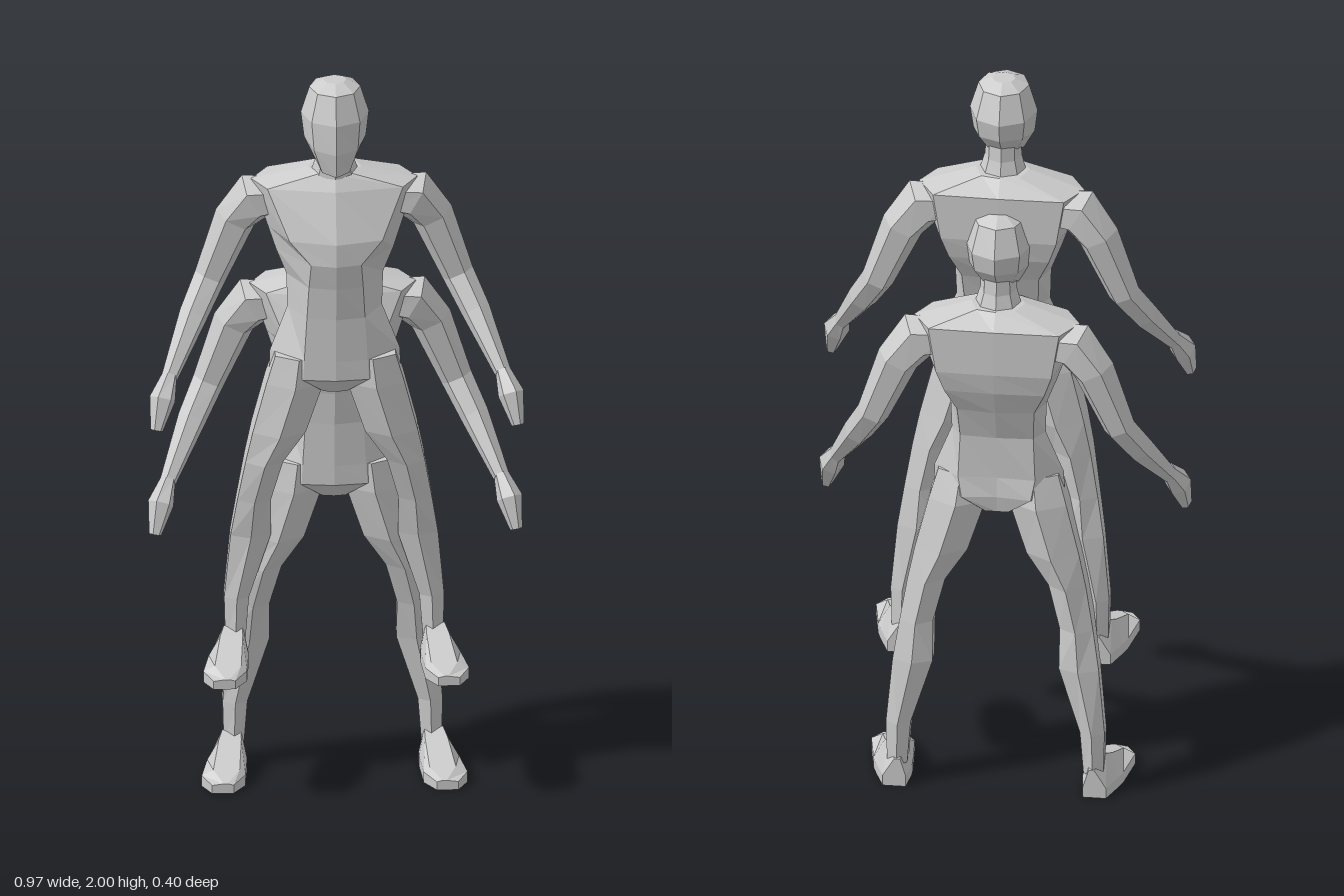
import * as THREE from 'three';

const grey = new THREE.MeshStandardMaterial({ color: 0xcccccc });
grey.name = 'plain grey';

// Faceted skin over a list of closed rings, capped at both ends
function loft(name, rings, side = 1) {
  const pos = [];
  const tri = (a, b, c) => pos.push(a, b, c);
  const n = rings[0].length;
  const R = rings.map(r => r.map(p => new THREE.Vector3(p.x * side, p.y, p.z)));
  for (let i = 0; i < R.length - 1; i++) {
    for (let j = 0; j < n; j++) {
      const k = (j + 1) % n;
      tri(R[i][j], R[i + 1][j], R[i + 1][k]);
      tri(R[i][j], R[i + 1][k], R[i][k]);
    }
  }
  const last = R[R.length - 1];
  for (let j = 1; j < n - 1; j++) {
    tri(R[0][0], R[0][j], R[0][j + 1]);
    tri(last[0], last[j + 1], last[j]);
  }
  // turn the faces outward
  let volume = 0;
  const cross = new THREE.Vector3();
  for (let i = 0; i < pos.length; i += 3) volume += pos[i].dot(cross.crossVectors(pos[i + 1], pos[i + 2]));
  if (volume < 0) for (let i = 0; i < pos.length; i += 3) [pos[i + 1], pos[i + 2]] = [pos[i + 2], pos[i + 1]];
  const geo = new THREE.BufferGeometry().setFromPoints(pos);
  geo.computeVertexNormals();
  const mesh = new THREE.Mesh(geo, grey);
  mesh.name = name;
  return mesh;
}

const V = (x, y, z) => new THREE.Vector3(x, y, z);

// Level ring; tilt raises the back relative to the front
function levelRing([y, cx, rx, front, back, tilt = 0], n) {
  return Array.from({ length: n }, (_, i) => {
    const a = (i / n) * Math.PI * 2;
    const z = (front + back) / 2 + Math.cos(a) * (front - back) / 2;
    return V(cx + Math.sin(a) * rx, y - tilt * Math.cos(a), z);
  });
}

// Rings square to a path of [x, y, z, radius across, radius in depth]
function pathRings(path, n) {
  const c = path.map(p => V(p[0], p[1], p[2]));
  return path.map((p, i) => {
    const t = c[Math.min(i + 1, c.length - 1)].clone().sub(c[Math.max(i - 1, 0)]).normalize();
    const v = V(0, 0, 1).addScaledVector(t, -t.z).normalize();
    const u = V(0, 0, 0).crossVectors(t, v);
    return Array.from({ length: n }, (_, j) => {
      const a = (j / n) * Math.PI * 2;
      return c[i].clone().addScaledVector(u, Math.cos(a) * p[3]).addScaledVector(v, Math.sin(a) * p[4]);
    });
  });
}

// Torso ring: front middle, front panel edge, flank, back edge, back middle
function torsoRing([y, zf, xp, zp, xs, zs, xb, zb, zm]) {
  return [V(0, y, zf), V(xp, y, zp), V(xs, y, zs), V(xb, y, zb),
    V(0, y, zm), V(-xb, y, zb), V(-xs, y, zs), V(-xp, y, zp)];
}

// Foot section across z, with a bevelled upper
function footRing([z, x0, x1, top]) {
  const mid = Math.min(0.37, top - 0.004);
  return [V(x0, 0.34, z), V(x1, 0.34, z), V(x1, mid, z),
    V(x1 - 0.03, top, z), V(x0 + 0.015, top, z), V(x0, mid, z)];
}

function createFigure(name) {
  const figure = new THREE.Group();
  figure.name = name;

  figure.add(loft('torso', [
    [1.745, 0.055, 0.04, 0.045, 0.07, 0.0, 0.05, -0.05, -0.06],
    [1.705, 0.08, 0.175, 0.05, 0.215, -0.02, 0.17, -0.095, -0.098],
    [1.58, 0.135, 0.12, 0.105, 0.172, 0.0, 0.15, -0.098, -0.1],
    [1.52, 0.14, 0.065, 0.125, 0.152, 0.01, 0.13, -0.085, -0.09],
    [1.45, 0.125, 0.07, 0.108, 0.125, 0.01, 0.1, -0.055, -0.065],
    [1.36, 0.115, 0.075, 0.1, 0.122, 0.015, 0.095, -0.03, -0.035],
    [1.24, 0.11, 0.082, 0.1, 0.168, 0.025, 0.1, -0.035, -0.03],
    [1.185, 0.11, 0.085, 0.1, 0.17, 0.025, 0.09, -0.045, -0.035],
    [1.14, 0.075, 0.03, 0.07, 0.06, 0.025, 0.03, -0.03, -0.03],
  ].map(torsoRing)));

  figure.add(loft('neck', [
    [1.84, 0, 0.045, 0.075, -0.035],
    [1.78, 0, 0.048, 0.065, -0.04],
    [1.735, 0, 0.062, 0.065, -0.055],
  ].map(r => levelRing(r, 8))));

  // head, with the jaw lower than the nape
  figure.add(loft('head', [
    [2.0, 0, 0.03, 0.05, -0.01],
    [1.982, 0, 0.066, 0.095, -0.05],
    [1.91, 0, 0.088, 0.123, -0.082],
    [1.845, 0, 0.08, 0.128, -0.072, 0.015],
    [1.785, 0, 0.05, 0.115, -0.025, 0.022],
  ].map(r => levelRing(r, 8))));

  for (const [side, label] of [[1, 'left'], [-1, 'right']]) {
    figure.add(loft(label + 'Arm', pathRings([
      [0.13, 1.655, -0.03, 0.05, 0.06],
      [0.205, 1.65, -0.033, 0.068, 0.068],
      [0.255, 1.585, -0.045, 0.055, 0.058],
      [0.32, 1.42, -0.04, 0.042, 0.042],
      [0.365, 1.335, 0.01, 0.038, 0.04],
      [0.43, 1.205, 0.11, 0.022, 0.025],
    ], 6), side));

    figure.add(loft(label + 'Hand', pathRings([
      [0.43, 1.21, 0.11, 0.02, 0.025],
      [0.45, 1.16, 0.148, 0.034, 0.04],
      [0.466, 1.085, 0.178, 0.016, 0.024],
    ], 6), side));

    figure.add(loft(label + 'Leg', [
      [1.24, 0.095, 0.07, 0.1, -0.03],
      [1.16, 0.105, 0.085, 0.108, -0.055],
      [1.02, 0.145, 0.079, 0.1, -0.065],
      [0.93, 0.183, 0.056, 0.08, -0.063],
      [0.81, 0.208, 0.05, 0.04, -0.065],
      [0.7, 0.216, 0.06, 0.012, -0.075],
      [0.52, 0.252, 0.037, 0.0, -0.082],
      [0.4, 0.255, 0.03, 0.0, -0.08],
    ].map(r => levelRing(r, 6)), side));

    figure.add(loft(label + 'Foot', [
      [-0.082, 0.23, 0.29, 0.42],
      [-0.02, 0.222, 0.315, 0.44],
      [0.01, 0.222, 0.325, 0.425],
      [0.11, 0.23, 0.343, 0.385],
      [0.158, 0.262, 0.318, 0.367],
    ].map(footRing), side));
  }
  return figure;
}

export function createModel() {
  const model = new THREE.Group();
  model.name = 'twoFigures';
  const front = createFigure('frontFigure');
  const rear = createFigure('rearFigure');
  rear.position.set(0, -0.34, -0.1);
  model.add(front, rear);
  return model;
}
